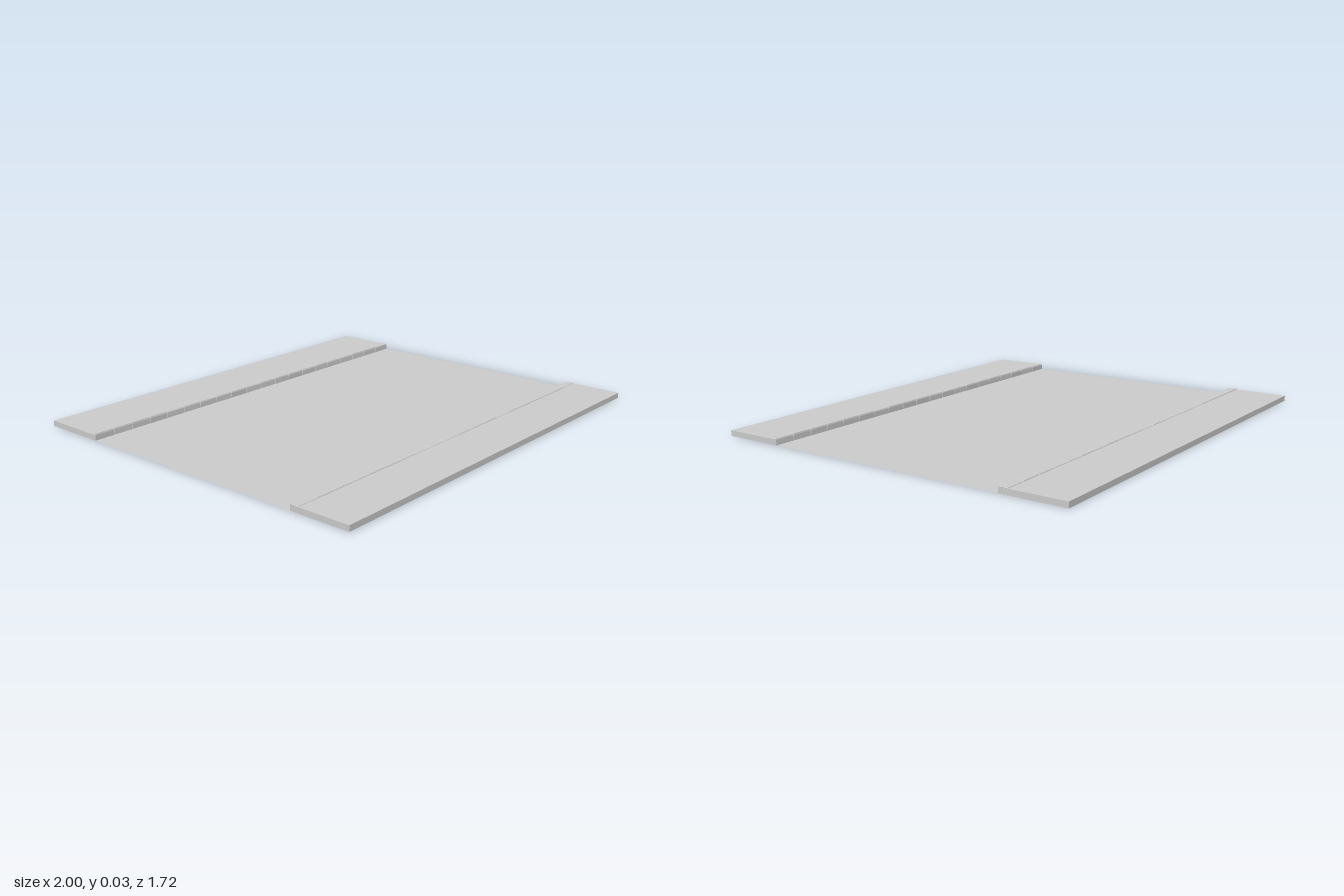
import * as THREE from 'three';

const material = new THREE.MeshStandardMaterial({
  color: 0xcccccc, flatShading: true, side: THREE.DoubleSide,
});

const OUTER = 0.858;   // outer edge of both pavements
const TOP = 0.025;     // pavement height
const STONES = 20;     // kerb stones per side

// Small seeded generator for the uneven stones
function seeded(seed) {
  return () => {
    seed = (seed * 16807) % 2147483647;
    return seed / 2147483647;
  };
}

function addPart(parent, name, geometry) {
  const mesh = new THREE.Mesh(geometry, material);
  mesh.name = name;
  parent.add(mesh);
  return mesh;
}

// Skin a list of equal-length cross-sections
function loft(sections) {
  const n = sections[0].length;
  const index = [];
  for (let i = 0; i < sections.length - 1; i++) {
    for (let j = 0; j < n - 1; j++) {
      const a = i * n + j, b = a + n;
      index.push(a, b, b + 1, a, b + 1, a + 1);
    }
  }
  const geometry = new THREE.BufferGeometry();
  geometry.setAttribute('position', new THREE.Float32BufferAttribute(sections.flat(2), 3));
  geometry.setIndex(index);
  geometry.computeVertexNormals();
  return geometry;
}

// Kerb: a row of slightly uneven stones with shallow notches at the joints
function kerb(side, inner, width, random) {
  const section = (x, recess, rise) => [
    [0, 0],
    [recess, TOP - 0.002],
    [recess + 0.002, TOP + rise],
    [width - 0.002, TOP + rise],
    [width, TOP],
  ].map(([z, y]) => [x, y, side * (inner + z)]);

  const sections = [];
  const length = 2 / STONES, joint = 0.002;
  for (let i = 0; i < STONES; i++) {
    const x = -1 + i * length;
    const recess = random() * 0.002;
    const rise = 0.003 + random() * 0.002;
    sections.push(section(x, 0.004, 0.001));
    sections.push(section(x + joint, recess, rise));
    sections.push(section(x + length - joint, recess, rise));
  }
  sections.push(section(1, 0.004, 0.001));
  return loft(sections);
}

function pavement(name, side, inner, width, seed) {
  const group = new THREE.Group();
  group.name = name;

  // Slab: top and outer face, open underneath
  const slab = [-1, 1].map((x) => [
    [x, TOP, side * (inner + width)],
    [x, TOP, side * OUTER],
    [x, 0, side * OUTER],
  ]);
  addPart(group, 'pavementSlab', loft(slab));
  addPart(group, 'kerbStones', kerb(side, inner, width, seeded(seed)));

  // End faces
  for (const x of [-1, 1]) {
    const end = addPart(group, 'pavementEnd', new THREE.PlaneGeometry(OUTER - inner, TOP));
    end.rotation.y = x * Math.PI / 2;
    end.position.set(x, TOP / 2, side * (OUTER + inner) / 2);
  }
  return group;
}

export function createModel() {
  const model = new THREE.Group();
  model.name = 'roadSection';

  const front = 0.58, back = 0.56;   // inner kerb lines

  // Flat carriageway between the kerbs
  const road = addPart(model, 'road', new THREE.PlaneGeometry(2, front + back));
  road.rotation.x = -Math.PI / 2;
  road.position.z = (front - back) / 2;

  model.add(pavement('frontPavement', 1, front, 0.04, 17));
  model.add(pavement('backPavement', -1, back, 0.044, 91));
  return model;
}
